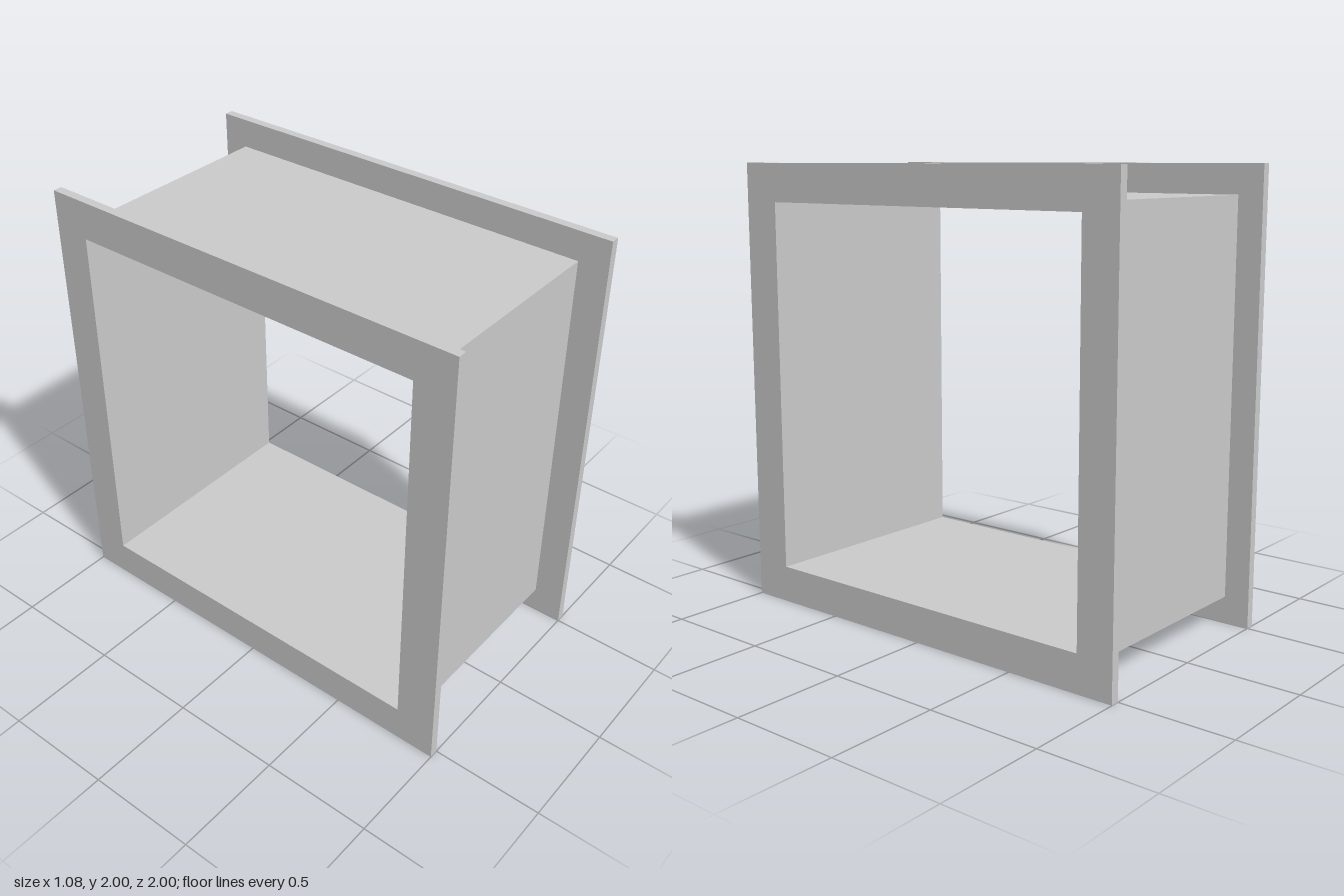
import * as THREE from 'three';

// Rectangles as [zMin, zMax, yMin, yMax]
const OPENING = [-0.835, 0.82, 0.165, 1.83];
const DUCT = [-0.885, 0.865, 0.12, 1.87];
const FLANGE = [-1, 1, 0, 2];

// Traces a rectangle; the shape's x axis becomes -z after the turn below
function trace(path, [z0, z1, y0, y1]) {
  path.moveTo(-z1, y0);
  path.lineTo(-z0, y0);
  path.lineTo(-z0, y1);
  path.lineTo(-z1, y1);
  path.closePath();
  return path;
}

// Rectangular frame around the opening, running along x from x0 to x1
function frame(name, outer, x0, x1, material) {
  const shape = trace(new THREE.Shape(), outer);
  shape.holes.push(trace(new THREE.Path(), OPENING));
  const geometry = new THREE.ExtrudeGeometry(shape, { depth: x1 - x0, bevelEnabled: false });
  geometry.rotateY(Math.PI / 2);
  geometry.translate(x0, 0, 0);
  const mesh = new THREE.Mesh(geometry, material);
  mesh.name = name;
  return mesh;
}

export function createModel() {
  const group = new THREE.Group();
  group.name = 'flangedDuct';
  const material = new THREE.MeshStandardMaterial({ color: 0xcccccc, flatShading: true });

  // Duct walls between the two end flanges
  group.add(frame('ductWalls', DUCT, -0.5, 0.5, material));
  group.add(frame('leftFlange', FLANGE, 0.5, 0.54, material));
  group.add(frame('rightFlange', FLANGE, -0.54, -0.5, material));
  return group;
}
